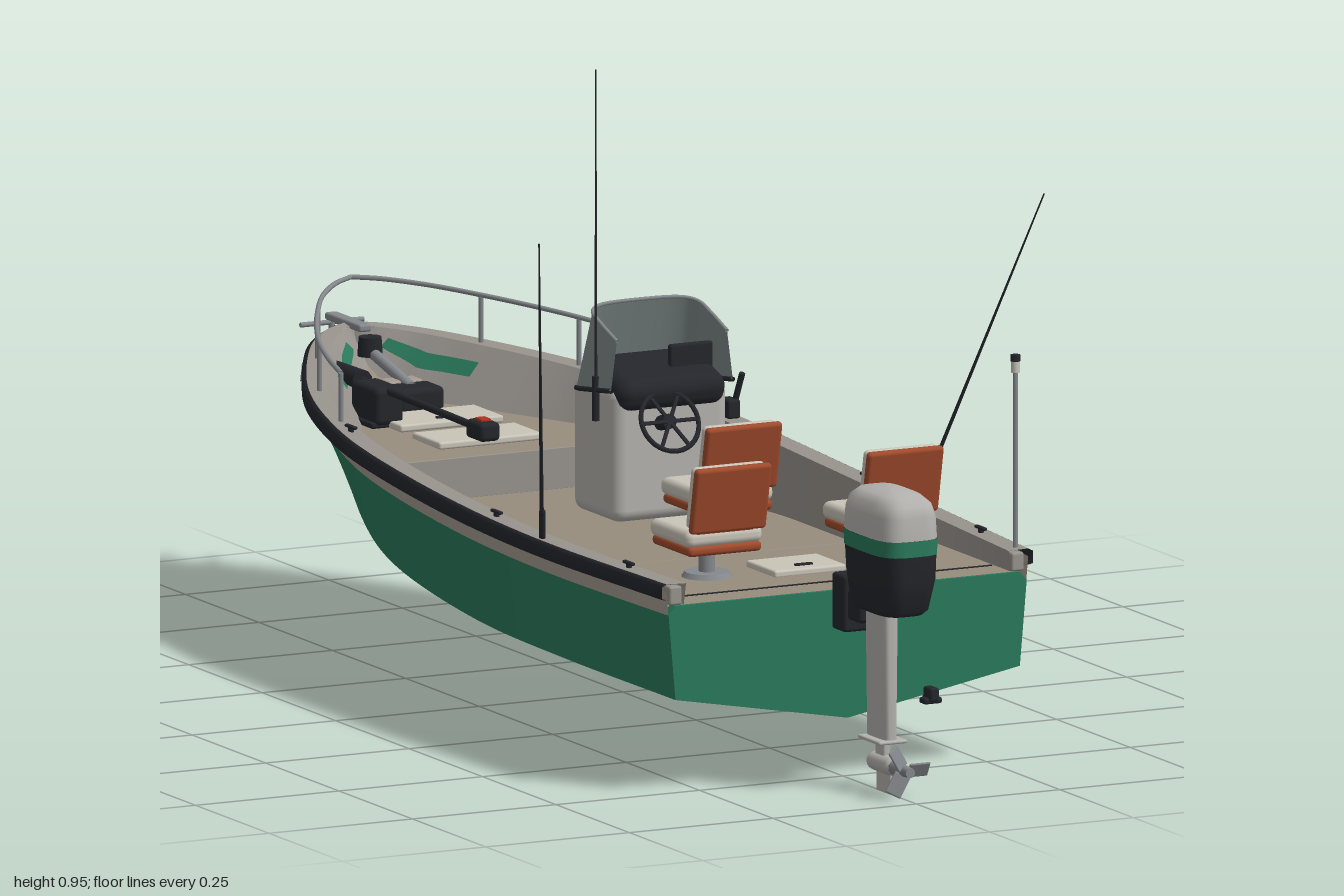
import * as THREE from 'three';
import { RoundedBoxGeometry } from 'three/addons/geometries/RoundedBoxGeometry.js';

const V = (x, y, z) => new THREE.Vector3(x, y, z);
const mat = (color) => new THREE.MeshStandardMaterial({ color, side: THREE.DoubleSide });
const M = {
  green: mat(0x2a7a5c), cream: mat(0xa59c90), bottom: mat(0x9a9592), floor: mat(0x978d7d), liner: mat(0x97928c),
  black: mat(0x24262b), orange: mat(0xa04a2c), seat: mat(0xc9c4b8), grey: mat(0xb4b2ae), metal: mat(0x85888c),
  glass: mat(0x7c8886), red: mat(0xb03020),
};

export function createModel() {
  const root = new THREE.Group();
  const add = (name, geo, m, x = 0, y = 0, z = 0, parent = root) => {
    const mesh = new THREE.Mesh(geo, m);
    mesh.name = name;
    mesh.position.set(x, y, z);
    parent.add(mesh);
    return mesh;
  };
  const box = (name, m, w, h, d, x, y, z, r = 0.004, parent = root) =>
    add(name, new RoundedBoxGeometry(w, h, d, 3, Math.min(r, w * 0.49, h * 0.49, d * 0.49)), m, x, y, z, parent);
  const cyl = (name, m, r1, r2, h, x, y, z, parent = root) =>
    add(name, new THREE.CylinderGeometry(r1, r2, h, 20), m, x, y, z, parent);
  const rod = (name, m, a, b, r1, r2 = r1) => {
    const d = b.clone().sub(a);
    const mesh = add(name, new THREE.CylinderGeometry(r2, r1, d.length(), 10), m);
    mesh.position.copy(a).addScaledVector(d, 0.5);
    mesh.quaternion.setFromUnitVectors(V(0, 1, 0), d.normalize());
    return mesh;
  };
  const tube = (name, m, pts, r, n = 48) =>
    add(name, new THREE.TubeGeometry(new THREE.CatmullRomCurve3(pts), n, r, 8), m);
  // Surface through rows of points
  const grid = (name, m, rows) => {
    const w = rows[0].length, index = [];
    for (let i = 0; i < rows.length - 1; i++) for (let j = 0; j < w - 1; j++) {
      const a = i * w + j, b = a + w;
      index.push(a, b, a + 1, b, b + 1, a + 1);
    }
    const geo = new THREE.BufferGeometry().setFromPoints(rows.flat());
    geo.setIndex(index);
    geo.computeVertexNormals();
    return add(name, geo, m);
  };

  // Hull lines: z, sheer x, sheer y, chine x, chine y, keel y
  const stations = [
    [0.765, 0.315, 0.322, 0.3, 0.15, 0.095], [0.4, 0.335, 0.325, 0.306, 0.152, 0.095], [0.1, 0.338, 0.335, 0.306, 0.16, 0.096],
    [-0.2, 0.325, 0.352, 0.29, 0.188, 0.098], [-0.4, 0.298, 0.366, 0.25, 0.228, 0.113], [-0.6, 0.24, 0.382, 0.175, 0.284, 0.18],
    [-0.8, 0.137, 0.398, 0.075, 0.345, 0.29], [-0.895, 0.062, 0.406, 0.025, 0.381, 0.36], [-0.932, 0, 0.41, 0, 0.398, 0.392],
  ];
  const line = (f) => new THREE.CatmullRomCurve3(stations.map(f), false, 'catmullrom');
  const sheer = line((s) => V(s[1], s[2], s[0]));
  const chine = line((s) => V(s[3], s[4], s[0]));
  const keel = line((s) => V(0, s[5], s[0]));
  const at = (curve, z) => {
    let lo = 0, hi = 1;
    for (let i = 0; i < 30; i++) {
      const t = (lo + hi) / 2;
      if (curve.getPoint(t).z > z) lo = t; else hi = t;
    }
    return curve.getPoint(lo);
  };
  const hullX = (z, y) => {
    const s = at(sheer, z), c = at(chine, z), k = at(keel, z);
    const [a, b] = y > c.y ? [c, s] : [k, c];
    return Math.max(0, a.x + (b.x - a.x) * Math.min(1, Math.max(0, (y - a.y) / (b.y - a.y))) - 0.012);
  };
  // Lengthwise surface; f(z) gives one cross-section row
  const run = (name, m, z0, z1, f, n = 40) =>
    grid(name, m, Array.from({ length: n + 1 }, (_, i) => f(z0 + (z1 - z0) * i / n)));
  const hullRows = (f) => Array.from({ length: 81 }, (_, i) => {
    const t = i / 80;
    return f(sheer.getPoint(t), chine.getPoint(t), keel.getPoint(t));
  });
  const inner = (x) => Math.max(0, x - 0.034);
  // Strake between keel and chine, drawn in towards the bow
  const strake = (c, k) => {
    const u = THREE.MathUtils.smoothstep(-c.z, 0, 0.6);
    return V(c.x * (0.5 - 0.1 * u), k.y + (c.y - k.y) * (0.5 + 0.1 * u), c.z);
  };
  const floorY = 0.245, aftY = 0.3;
  const bowY = (z) => Math.max(0.31 + (-0.39 - z) * 0.025, at(keel, z).y + 0.025);
  const floorX = (z) => Math.min(hullX(z, floorY), z > 0 ? 0.3 : 0.3 - 0.95 * z * z);
  const bowX = (z) => Math.max(0, Math.min(hullX(z, bowY(z)), inner(at(sheer, z).x), 0.27 + (z + 0.39) * 0.57));
  for (const s of [1, -1]) {
    const P = (x, y, z) => V(s * x, y, z);
    const F = (p) => P(p.x, p.y, p.z);
    grid('hullBottom', M.bottom, hullRows((h, c, k) => [k, F(strake(c, k))]));
    grid('hullBilge', M.bottom, hullRows((h, c, k) => [F(strake(c, k)), F(c)]));
    grid('hullSide', M.green, hullRows((h, c) => [F(c), F(c.clone().lerp(h, 0.78))]));
    grid('sheerBand', M.cream, hullRows((h, c) => [F(c.clone().lerp(h, 0.78)), F(h)]));
    grid('rubRail', M.black, hullRows((h) => [[-0.002, -0.014], [0.008, -0.012], [0.008, 0.008], [0, 0.012]]
      .map(([dx, dy]) => P(Math.max(0, h.x + dx), h.y + dy, h.z - (h.x < 0.03 ? dx : 0)))));
    grid('gunwale', M.liner, hullRows((h) => [P(h.x, h.y + 0.012, h.z), P(inner(h.x), h.y + 0.011, h.z)]));
    const wall = (z0, z1, fx, fy) => run('innerWall', M.liner, z0, z1, (z) => {
      const h = at(sheer, z);
      return [P(inner(h.x), h.y + 0.011, z), P(fx(z), fy(z), z)];
    });
    wall(0.765, 0.44, () => 0.285, () => aftY);
    wall(0.44, -0.39, floorX, () => floorY);
    wall(-0.39, -0.92, bowX, bowY);
    box('sternCorner', M.liner, 0.022, 0.03, 0.02, s * 0.298, 0.314, 0.754);
    // Green flash along the bow liner
    run('bowStripe', M.green, -0.73, -0.87, (z) => {
      const h = at(sheer, z), top = P(inner(h.x), h.y + 0.014, z), low = P(bowX(z), bowY(z) + 0.003, z);
      return [0.45, 0.7].map((u) => low.clone().lerp(top, u));
    }, 12);
    // Cleats, rod holders and fishing rods
    for (const z of [0.62, 0.2, -0.36]) {
      const h = at(sheer, z), x = s * (h.x - 0.017);
      box('cleat', M.black, 0.008, 0.005, 0.032, x, h.y + 0.019, z);
      box('cleatFoot', M.black, 0.007, 0.01, 0.012, x, h.y + 0.014, z);
    }
    rod('rodHolder', M.black, P(0.325, 0.33, 0.362), P(0.337, 0.385, 0.385), 0.005);
    rod('fishingRod', M.black, P(0.33, 0.345, 0.37), P(0.44, 0.85, 0.575), 0.0035, 0.0012);
    // Bow rail
    const railAt = (z) => {
      const h = at(sheer, z);
      return P(Math.max(0, h.x - 0.018), 0.455 + (-0.42 - z) * 0.075, z);
    };
    tube('bowRail', M.metal, [-0.42, -0.5, -0.59, -0.68, -0.76, -0.84, -0.9, -0.925].map(railAt), 0.004);
    for (const z of [-0.42, -0.59, -0.76]) {
      const top = railAt(z);
      rod('railPost', M.metal, V(top.x, at(sheer, z).y, z), top, 0.004);
    }
  }

  // Decks, steps and transom
  const deck = (name, z0, z1, fx, fy) => run(name, M.floor, z0, z1, (z) => [V(fx(z), fy(z), z), V(-fx(z), fy(z), z)]);
  deck('aftDeck', 0.766, 0.44, () => 0.29, () => aftY);
  deck('cockpitFloor', 0.44, -0.39, floorX, () => floorY);
  deck('bowDeck', -0.39, -0.92, bowX, bowY);
  box('aftStep', M.liner, 0.58, 0.055, 0.006, 0, 0.2725, 0.442, 0.001);
  box('bowStep', M.liner, 0.46, 0.065, 0.006, 0, 0.277, -0.391, 0.001);
  box('deckSeam', M.black, 0.56, 0.002, 0.004, 0, 0.301, 0.71, 0.001);
  const ts = new THREE.Shape([[0, 0.095], [0.3, 0.15], [0.312, 0.285], [0.3, 0.2985], [-0.3, 0.2985], [-0.312, 0.285], [-0.3, 0.15]]
    .map(([x, y]) => new THREE.Vector2(x, y)));
  add('transom', new THREE.ExtrudeGeometry(ts, { depth: 0.018, bevelEnabled: false }), M.green, 0, 0, 0.748);
  box('drainFitting', M.black, 0.032, 0.01, 0.02, 0.14, 0.112, 0.775);
  box('drainStem', M.black, 0.016, 0.022, 0.03, 0.14, 0.122, 0.775);

  // Hatches
  const hatch = (w, d, y, z) => {
    box('hatch', M.seat, w, 0.012, d, 0, y, z);
    box('hatchLatch', M.black, 0.03, 0.004, 0.008, 0, y + 0.007, z + d * 0.25, 0.001);
  };
  hatch(0.125, 0.1, 0.304, 0.59);
  hatch(0.18, 0.095, 0.317, -0.495);
  hatch(0.18, 0.1, 0.321, -0.63);

  // Swivel seats
  const seat = (x, y, z) => {
    const g = new THREE.Group();
    g.name = 'seat';
    g.position.set(x, y, z);
    root.add(g);
    cyl('seatFoot', M.metal, 0.035, 0.04, 0.008, 0, 0.004, 0, g);
    cyl('seatPost', M.metal, 0.013, 0.013, 0.05, 0, 0.025, 0, g);
    box('seatShell', M.orange, 0.128, 0.016, 0.13, 0, 0.053, 0, 0.007, g);
    box('seatCushion', M.seat, 0.134, 0.028, 0.134, 0, 0.072, -0.003, 0.012, g);
    const back = new THREE.Group();
    back.name = 'backrest';
    back.position.set(0, 0.138, 0.07);
    back.rotation.x = 0.2;
    g.add(back);
    box('backShell', M.orange, 0.132, 0.108, 0.014, 0, 0, 0.009, 0.006, back);
    box('backCushion', M.seat, 0.126, 0.102, 0.018, 0, 0, -0.006, 0.008, back);
    box('backBracket', M.orange, 0.1, 0.02, 0.008, 0, -0.06, 0, 0.002, back);
  };
  seat(-0.15, aftY, 0.58);
  seat(0.15, aftY, 0.58);
  seat(0.14, floorY, 0.05);

  // Console with wraparound windscreen, dash and wheel
  box('console', M.grey, 0.2, 0.215, 0.15, 0.137, 0.35, -0.175, 0.02);
  const dash = box('dash', M.black, 0.19, 0.055, 0.125, 0.137, 0.455, -0.15, 0.024);
  dash.rotation.x = 0.3;
  box('display', M.black, 0.075, 0.06, 0.012, 0.187, 0.482, -0.135);
  const screenRow = (w, zf, yf, yr) => new THREE.CatmullRomCurve3([[-1, 0], [-1, 0.5], [-0.96, 0.84], [-0.78, 0.98], [0, 1.04],
    [0.78, 0.98], [0.96, 0.84], [1, 0.5], [1, 0]].map(([a, b]) => V(0.137 + a * w, yr + (yf - yr) * b, -0.1 + (zf + 0.1) * b))).getPoints(48);
  const low = screenRow(0.106, -0.25, 0.435, 0.455), high = screenRow(0.096, -0.207, 0.57, 0.533);
  grid('windscreen', M.glass, low.map((p, i) => [p, high[i]]));
  tube('windscreenTrim', M.black, low, 0.004, 80);
  tube('windscreenEdge', M.metal, high, 0.003, 80);
  const wheel = new THREE.Group();
  wheel.name = 'steeringWheel';
  wheel.position.set(0.118, 0.405, -0.07);
  wheel.rotation.x = -0.5;
  root.add(wheel);
  add('wheelRim', new THREE.TorusGeometry(0.049, 0.004, 8, 32), M.black, 0, 0, 0, wheel);
  for (let i = 0; i < 3; i++) box('wheelSpoke', M.black, 0.098, 0.006, 0.004, 0, 0, 0, 0.001, wheel).rotation.z = i * Math.PI / 3;
  rod('wheelColumn', M.black, V(0.118, 0.395, -0.11), V(0.118, 0.405, -0.07), 0.012);
  box('throttleBox', M.black, 0.022, 0.03, 0.035, 0.25, 0.405, -0.125);
  rod('throttleLever', M.black, V(0.257, 0.405, -0.125), V(0.262, 0.462, -0.105), 0.005);
  rod('antenna', M.black, V(0.03, 0.4, -0.15), V(0.03, 0.955, -0.15), 0.0025, 0.001);
  rod('antennaBase', M.black, V(0.03, 0.4, -0.15), V(0.03, 0.47, -0.15), 0.006);

  // Stern light
  rod('lightPole', M.metal, V(0.303, 0.31, 0.745), V(0.303, 0.615, 0.745), 0.004);
  cyl('lightLens', M.seat, 0.007, 0.007, 0.018, 0.303, 0.619, 0.745);
  cyl('lightCap', M.black, 0.008, 0.008, 0.01, 0.303, 0.633, 0.745);

  // Stowed bow motor
  rod('bowMotorPod', M.black, V(-0.09, 0.378, -0.8), V(-0.09, 0.375, -0.71), 0.013, 0.017);
  rod('bowMotorShaft', M.black, V(-0.09, 0.375, -0.71), V(-0.09, 0.37, -0.3), 0.006);
  box('bowMotorBracket', M.black, 0.05, 0.06, 0.09, -0.09, 0.35, -0.66, 0.01);
  box('bowMotorFoot', M.black, 0.07, 0.01, 0.08, -0.085, 0.321, -0.66);
  box('bowMotorHead', M.black, 0.036, 0.03, 0.055, -0.09, 0.37, -0.3, 0.008);
  box('bowMotorButton', M.red, 0.018, 0.006, 0.022, -0.09, 0.386, -0.3, 0.002);
  box('bowMount', M.black, 0.08, 0.04, 0.06, 0, 0.34, -0.71, 0.01);
  box('bowLocker', M.cream, 0.06, 0.04, 0.035, 0, 0.342, -0.755);
  rod('bowMountArm', M.metal, V(0, 0.355, -0.72), V(0, 0.39, -0.87), 0.009);
  cyl('windlass', M.black, 0.018, 0.02, 0.03, 0, 0.395, -0.86);

  // Anchor on its roller
  box('anchorRoller', M.metal, 0.022, 0.012, 0.12, 0, 0.42, -0.935);
  rod('anchorShank', M.metal, V(0, 0.425, -0.99), V(0, 0.285, -0.99), 0.005);
  rod('anchorStock', M.metal, V(-0.055, 0.41, -0.99), V(0.055, 0.41, -0.99), 0.004);
  tube('anchorArms', M.metal, [V(-0.048, 0.335, -0.99), V(-0.035, 0.3, -0.99), V(0, 0.285, -0.99), V(0.035, 0.3, -0.99), V(0.048, 0.335, -0.99)], 0.005, 24);
  for (const s of [1, -1]) {
    const fluke = add('anchorFluke', new THREE.ConeGeometry(0.012, 0.028, 4), M.metal, s * 0.048, 0.338, -0.99);
    fluke.rotation.z = s * -0.3;
  }

  // Outboard: cowl stacked from rounded-rectangle sections
  const ring = (y, w, d, zc) => Array.from({ length: 41 }, (_, i) => {
    const a = i / 40 * Math.PI * 2, p = (v) => Math.sign(v) * Math.abs(v) ** 0.55;
    return V(p(Math.cos(a)) * w, y, zc + p(Math.sin(a)) * d);
  });
  const cowl = (name, m, rows) => grid(name, m, rows.map((r) => ring(...r)));
  cowl('cowlLower', M.black, [[0.29, 0, 0, 0.91], [0.291, 0.036, 0.068, 0.905], [0.3, 0.042, 0.078, 0.908], [0.35, 0.05, 0.086, 0.913], [0.415, 0.053, 0.088, 0.912]]);
  cowl('cowlStripe', M.green, [[0.39, 0.053, 0.0885, 0.912], [0.415, 0.0535, 0.0885, 0.912]]);
  cowl('cowlTop', M.grey, [[0.415, 0.053, 0.088, 0.912], [0.45, 0.051, 0.086, 0.912], [0.468, 0.045, 0.08, 0.912], [0.48, 0.032, 0.064, 0.912], [0.483, 0, 0, 0.912]]);
  cowl('motorLeg', M.grey, [[0.3, 0.015, 0.037, 0.882], [0.085, 0.012, 0.036, 0.882]]);
  box('ventPlate', M.grey, 0.05, 0.006, 0.075, 0, 0.083, 0.885);
  box('lowerLeg', M.grey, 0.012, 0.05, 0.03, 0, 0.063, 0.885);
  const gear = add('gearcase', new THREE.CapsuleGeometry(0.015, 0.055, 6, 16), M.grey, 0, 0.045, 0.89);
  gear.rotation.x = Math.PI / 2;
  box('skeg', M.grey, 0.007, 0.042, 0.048, 0, 0.021, 0.893, 0.002);
  rod('propHub', M.metal, V(0, 0.045, 0.925), V(0, 0.045, 0.98), 0.012, 0.008);
  for (let i = 0; i < 3; i++) {
    const arm = new THREE.Group();
    arm.name = 'propBlade';
    arm.position.set(0, 0.045, 0.96);
    arm.rotation.z = i * Math.PI * 2 / 3;
    root.add(arm);
    box('blade', M.metal, 0.036, 0.026, 0.004, 0.024, 0, 0, 0.002, arm).rotation.x = 0.5;
  }
  box('motorBracket', M.black, 0.062, 0.09, 0.045, 0, 0.285, 0.792, 0.006);
  box('motorSwivel', M.black, 0.05, 0.05, 0.045, 0, 0.285, 0.832, 0.008);
  return root;
}
